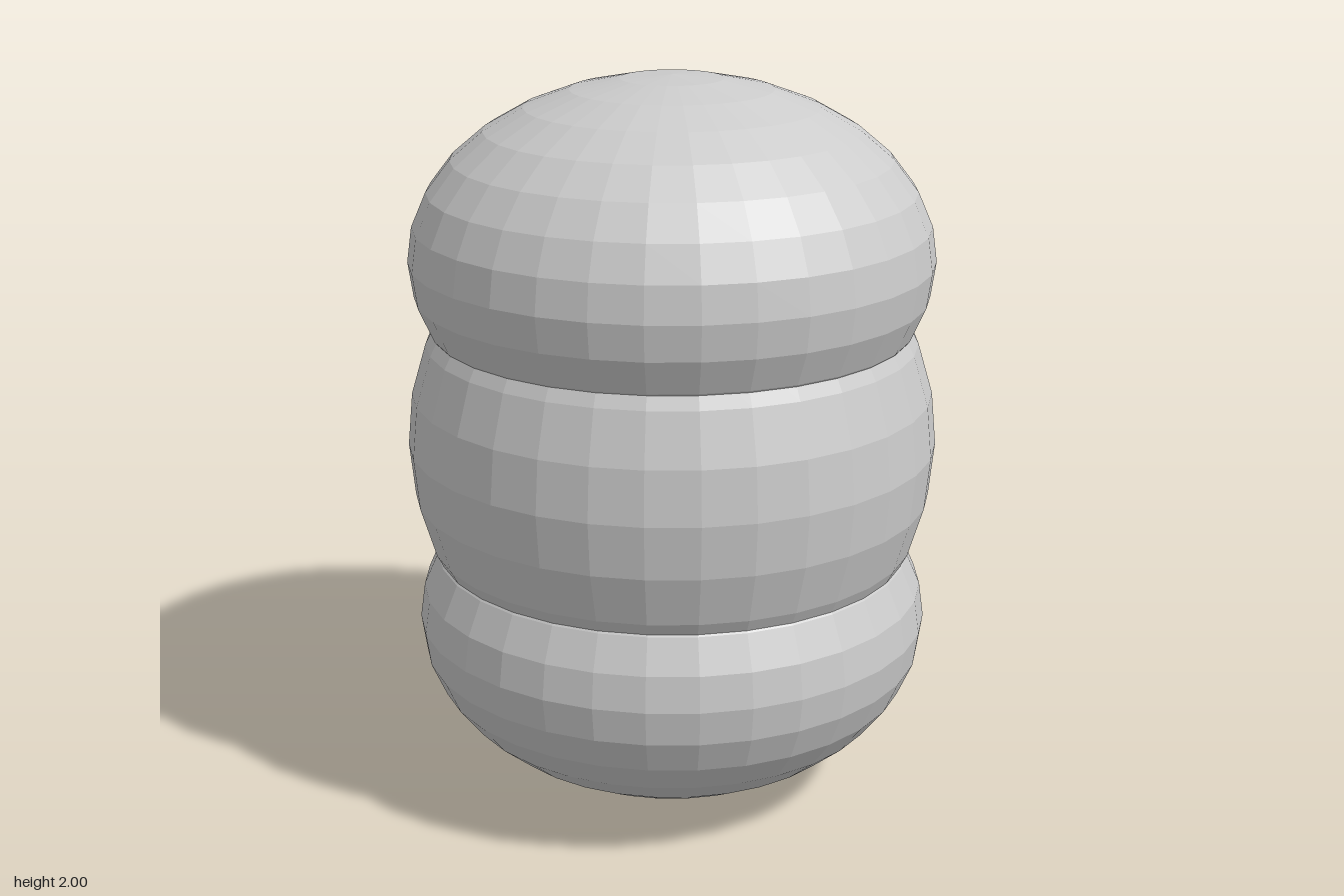
import * as THREE from 'three';

export function createModel() {
  const model = new THREE.Group();
  model.name = 'stackedBody';
  const material = new THREE.MeshStandardMaterial({ color: 0xcccccc, flatShading: true });

  // One faceted ellipsoid, centred on the vertical axis
  function addLobe(name, y, radius, halfHeight) {
    const geometry = new THREE.SphereGeometry(1, 32, 16);
    geometry.scale(radius, halfHeight, radius);
    const lobe = new THREE.Mesh(geometry, material);
    lobe.name = name;
    lobe.position.y = y;
    model.add(lobe);
  }

  // Two flattened lobes sunk into a taller middle one
  addLobe('bottomLobe', 0.49, 0.71, 0.49);
  addLobe('middleLobe', 1, 0.725, 0.74);
  addLobe('topLobe', 1.51, 0.71, 0.49);

  return model;
}
